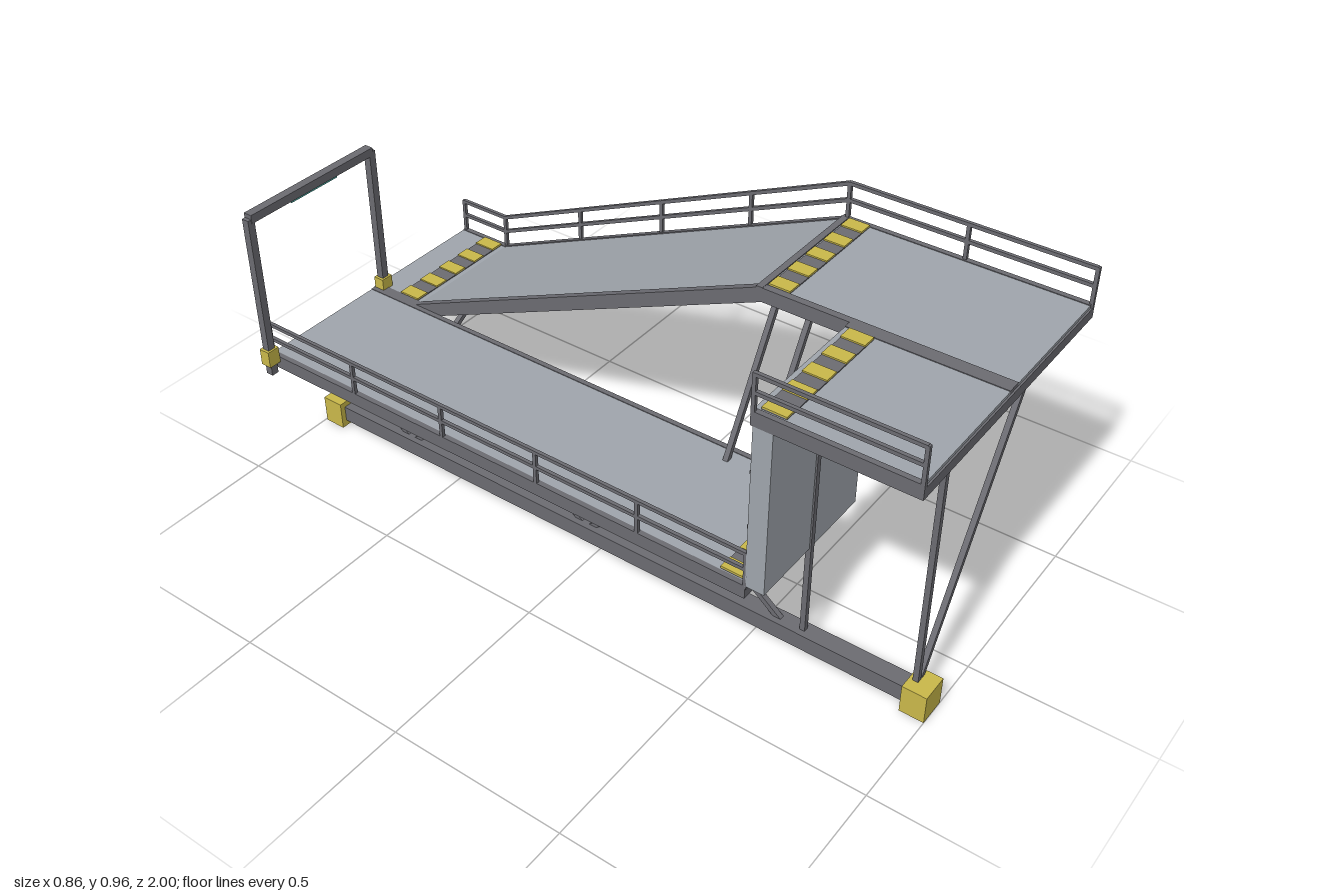
import * as THREE from 'three';

const mat = (name, color) => {
  const m = new THREE.MeshStandardMaterial({ color });
  m.name = name;
  return m;
};

export function createModel() {
  const model = new THREE.Group();
  model.name = 'rampWalkway';
  const plate = mat('plate grey', 0xa0a6ad);
  const steel = mat('frame grey', 0x6c6c72);
  const yellow = mat('safety yellow', 0xcab94a);
  const teal = mat('teal light', 0x4fada6);

  // Axis-aligned box given by its limits
  const box = (name, m, x0, x1, y0, y1, z0, z1) => {
    const b = new THREE.Mesh(new THREE.BoxGeometry(x1 - x0, y1 - y0, z1 - z0), m);
    b.position.set((x0 + x1) / 2, (y0 + y1) / 2, (z0 + z1) / 2);
    b.name = name;
    model.add(b);
  };
  // Rectangular bar between two points
  const bar = (name, m, a, b, w, h = w) => {
    const p = new THREE.Vector3(...a), q = new THREE.Vector3(...b);
    const mesh = new THREE.Mesh(new THREE.BoxGeometry(w, h, p.distanceTo(q)), m);
    mesh.position.copy(p).lerp(q, 0.5);
    mesh.lookAt(q);
    mesh.name = name;
    model.add(mesh);
  };

  // Deck panel: sheet, two side stringers and cross beams; y is the top level
  const deck = (name, x0, x1, [z0, y0], [z1, y1], beams, edges = [0.015, 0.015]) => {
    const [l, r] = edges;
    const along = (part, m, xa, xb, depth, h) => bar(name + part, m,
      [(xa + xb) / 2, y0 - depth, z0], [(xa + xb) / 2, y1 - depth, z1], xb - xa, h);
    along('Sheet', plate, x0 + l, x1 - r, 0.007, 0.01);
    along('LeftStringer', steel, x0, x0 + l, 0.02, 0.04);
    along('RightStringer', steel, x1 - r, x1, 0.02, 0.04);
    for (let i = 0; i < beams; i++) {
      const t = (i + 0.5) / beams;
      const y = y0 + (y1 - y0) * t, z = z0 + (z1 - z0) * t;
      box(name + 'CrossBeam', steel, x0 + l, x1 - r, y - 0.042, y - 0.01, z - 0.01, z + 0.01);
    }
  };
  const LOW = 0.34, TOP = 0.855;
  deck('lowerDeck', -0.395, 0.02, [0.58, LOW], [-0.995, LOW], 7);
  deck('ramp', 0.02, 0.43, [0.33, TOP], [-0.83, LOW], 4, [0.02, 0.015]);
  deck('landing', 0.02, 0.43, [-0.82, LOW], [-0.998, LOW], 1, [0.02, 0.015]);
  deck('upperRight', 0.02, 0.43, [0.995, TOP], [0.325, TOP], 3, [0.02, 0.015]);
  deck('upperLeft', -0.395, 0.02, [0.995, TOP], [0.575, TOP], 2, [0.015, 0.02]);

  // End beams closing the deck frames
  box('upperFrontBeam', steel, -0.395, 0.43, 0.815, 0.845, 0.98, 1);
  box('upperLeftRearBeam', steel, -0.38, 0.02, 0.815, 0.844, 0.575, 0.59);
  box('rampTopBeam', steel, 0.02, 0.43, 0.815, 0.856, 0.317, 0.335);
  box('rampFootBeam', steel, 0.04, 0.415, 0.3, 0.325, -0.84, -0.82);
  box('lowerFrontBeam', steel, -0.395, 0.02, 0.3, 0.338, 0.565, 0.582);
  box('lowerRearBeam', steel, -0.395, 0.43, 0.3, 0.327, -1, -0.985);

  // Hazard strips: grey mats with raised yellow bars
  const hazard = (x0, x1, y, z0, z1) => {
    box('hazardMat', steel, x0, x1, y - 0.002, y + 0.001, z0, z1);
    const w = (x1 - x0) / 9;
    for (let i = 0; i < 9; i += 2)
      box('hazardBar', yellow, x0 + i * w, x0 + (i + 1) * w, y, y + 0.005, z0, z1);
  };
  hazard(0.04, 0.415, LOW, -0.91, -0.845);
  hazard(0.04, 0.415, TOP, 0.34, 0.4);
  hazard(-0.375, -0.005, TOP, 0.59, 0.655);
  hazard(-0.375, -0.005, LOW, 0.5, 0.563);

  // Wall between the two levels, with seams and lights on its rear face
  box('wall', plate, -0.395, 0.02, 0.34, 0.815, 0.582, 0.635);
  for (const y of [0.52, 0.68]) box('wallSeam', steel, -0.39, 0.015, y - 0.005, y + 0.005, 0.577, 0.583);
  for (const y of [0.47, 0.6, 0.73]) box('wallLight', teal, -0.26, -0.12, y - 0.02, y + 0.02, 0.574, 0.583);

  // Guard rails: points are [z, deck level], posts at equal steps per section
  const rail = (x, points, steps) => {
    for (let s = 0; s < steps.length; s++) {
      const [za, ya] = points[s], [zb, yb] = points[s + 1];
      for (const h of [0.05, 0.098]) bar('handRail', steel, [x, ya + h, za], [x, yb + h, zb], 0.01);
      for (let i = s ? 1 : 0; i <= steps[s]; i++) {
        const t = i / steps[s], z = za + (zb - za) * t, y = ya + (yb - ya) * t;
        box('railPost', steel, x - 0.005, x + 0.005, y - 0.01, y + 0.102, z - 0.005, z + 0.005);
      }
    }
  };
  rail(0.425, [[0.995, TOP], [0.33, TOP], [-0.83, LOW], [-0.993, LOW]], [2, 4, 1]);
  rail(-0.39, [[0.995, TOP], [0.58, TOP]], [1]);
  rail(-0.39, [[0.58, LOW], [-0.993, LOW]], [5]);

  // Base beam with end blocks
  const bx = -0.188;
  box('baseBeam', steel, bx - 0.025, bx + 0.025, 0.018, 0.066, -0.96, 0.96);
  box('frontBlock', yellow, bx - 0.041, bx + 0.041, 0, 0.083, 0.932, 1);
  box('rearBlock', yellow, bx - 0.041, bx + 0.041, 0, 0.083, -0.995, -0.93);
  box('rearSocket', steel, bx - 0.022, bx + 0.022, 0.02, 0.064, -0.998, -0.99);

  // Upright posts, sideways struts and lengthwise zigzag bracing
  for (const z of [0.95, 0.632]) bar('post', steel, [bx, 0.06, z], [bx, 0.818, z], 0.015);
  for (const z of [0.95, 0.385, 0.285]) bar('highStrut', steel, [bx, 0.05, z], [0.225, 0.805, z], 0.015);
  for (const z of [-0.78, -0.875, -0.945]) bar('lowStrut', steel, [bx, 0.045, z], [0.225, 0.295, z], 0.015);
  const zig = [[0.57, 0.055], [0.268, 0.305], [-0.04, 0.055], [-0.06, 0.055], [-0.362, 0.305],
    [-0.67, 0.055], [-0.69, 0.055], [-0.99, 0.305]];
  for (const i of [0, 1, 3, 4, 6])
    bar('zigzagBrace', steel, [bx, zig[i][1], zig[i][0]], [bx, zig[i + 1][1], zig[i + 1][0]], 0.015);

  // Gate over the rear of the lower deck
  for (const x of [-0.415, 0.038]) {
    box('gatePost', steel, x - 0.011, x + 0.011, 0.292, 0.79, -0.988, -0.966);
    box('gateClamp', yellow, x - 0.019, x + 0.019, 0.325, 0.375, -0.993, -0.96);
  }
  box('gateBeam', steel, -0.415, 0.038, 0.778, 0.803, -0.99, -0.964);
  box('gateLight', teal, -0.27, -0.1, 0.771, 0.779, -0.986, -0.968);
  return model;
}
